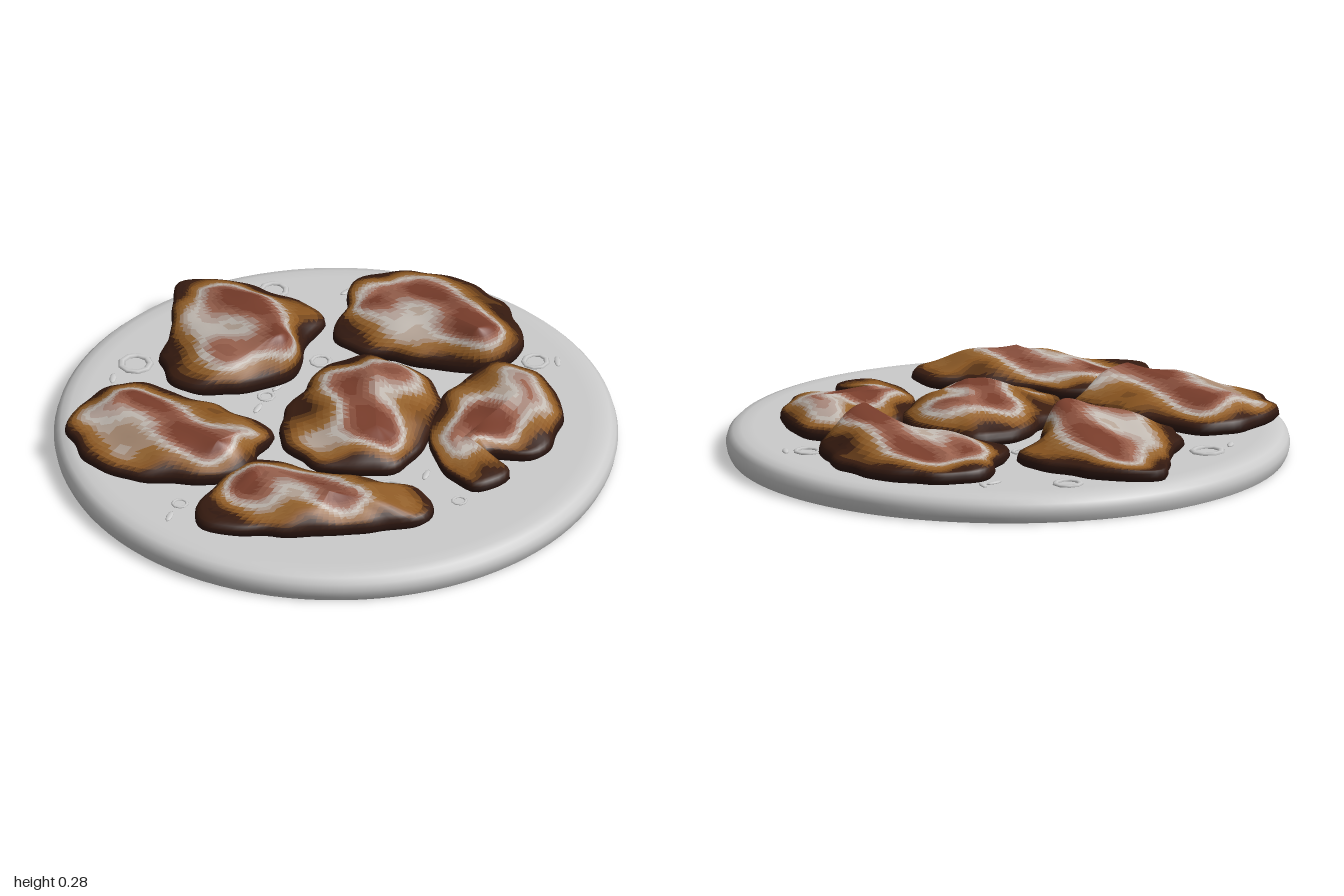
import * as THREE from 'three';

const grey = new THREE.MeshStandardMaterial({ color: 0xcccccc, side: THREE.DoubleSide });

// Roasting colours from charred rim through golden and pale fat to rust-red flesh
const stops = [0x2c1610, 0x3a1d10, 0x8a5520, 0x9a6832, 0xc4bcb4, 0x9c6450, 0x7a3e2c].map(c => new THREE.Color(c));
const LEVELS = 19;
const roast = Array.from({ length: LEVELS }, (_, i) => {
  const t = i / (LEVELS - 1) * (stops.length - 1), k = Math.min(Math.floor(t), stops.length - 2);
  return new THREE.MeshStandardMaterial({ color: stops[k].clone().lerp(stops[k + 1], t - k) });
});

const BASE = 0.108, RIM = 0.148, SEG = 80, INNER = 14;

// Meat piece: a clockwise outline [x, z] seen from above and a ridge from a to b [x, z, height].
// Rings shrink from the ruffled outline to the ridge while the height rises in folds.
function meatPiece(name, seed, [a, b], outline) {
  const curve = new THREE.CatmullRomCurve3(outline.map(([x, z]) => new THREE.Vector3(x, 0, z)), true, 'centripetal');
  const edge = curve.getSpacedPoints(SEG).slice(0, SEG);
  const spine = new THREE.Line3(new THREE.Vector3(a[0], 0, a[1]), new THREE.Vector3(b[0], 0, b[1]));
  const rings = [[0, BASE], [0.94, BASE], [1, 0.122], [0.99, 0.138]];
  for (let i = 0; i <= INNER; i++) rings.push([0.96 * (1 - i / INNER), null]);

  const pos = [], tone = [], target = new THREE.Vector3();
  rings.forEach(([s, fixedY]) => edge.forEach((p, i) => {
    const along = spine.closestPointToPointParameter(p, true);
    spine.at(along, target);
    const turn = i / SEG * Math.PI * 2;
    const reach = s * (1 + 0.025 * Math.sin(9 * turn + seed) + 0.015 * Math.sin(14 * turn + seed * 2));
    const x = target.x + (p.x - target.x) * reach, z = target.z + (p.z - target.z) * reach;
    const fold = Math.sin(21 * x + 6 * z + seed * 2.1) * 0.6 + Math.sin(13 * x - 17 * z + seed) * 0.4;
    const top = THREE.MathUtils.lerp(a[2], b[2], along);
    pos.push(x, fixedY ?? RIM + (top - RIM) * (1 - Math.pow(s, 1.5)) + 0.068 * s * (1 - s) * fold, z);
    const patch = Math.sin(24 * x + 5 * z + seed * 1.7) + 0.7 * Math.sin(9 * x - 15 * z + seed * 3);
    tone.push(fixedY ? 0 : 0.9 * Math.min(1, (1 - s) * 1.25 + 0.1) + 0.17 * patch * Math.min(1, (1 - s) * 5));
  }));

  // Sort the faces into one group per roasting colour
  const bins = roast.map(() => []);
  const face = (...v) => {
    const t = (tone[v[0]] + tone[v[1]] + tone[v[2]]) / 3;
    bins[THREE.MathUtils.clamp(Math.round(t * (LEVELS - 1)), 0, LEVELS - 1)].push(...v);
  };
  for (let r = 0; r < rings.length - 1; r++) {
    for (let i = 0; i < SEG; i++) {
      const j = (i + 1) % SEG, p = r * SEG, q = p + SEG;
      face(p + i, q + i, p + j);
      face(p + j, q + i, q + j);
    }
  }
  const geometry = new THREE.BufferGeometry();
  geometry.setAttribute('position', new THREE.Float32BufferAttribute(pos, 3));
  geometry.setIndex(bins.flat());
  let start = 0;
  bins.forEach((bin, i) => {
    if (bin.length) geometry.addGroup(start, bin.length, i);
    start += bin.length;
  });
  geometry.computeVertexNormals();
  const mesh = new THREE.Mesh(geometry, roast);
  mesh.name = name;
  return mesh;
}

export function createModel() {
  const model = new THREE.Group();
  const add = (parent, name, geometry, x = 0, y = 0, z = 0) => {
    const mesh = new THREE.Mesh(geometry, grey);
    mesh.name = name;
    mesh.position.set(x, y, z);
    parent.add(mesh);
  };

  // Plate: thin shell, open underneath, with a rounded edge
  const profile = [[0.985, 0], [0.995, 0.02], [1, 0.045], [0.993, 0.07], [0.975, 0.088], [0.945, 0.097], [0.9, 0.1], [0, 0.1]];
  add(model, 'plate', new THREE.LatheGeometry(profile.map(p => new THREE.Vector2(...p)), 96));

  // Roasted pieces
  const meat = new THREE.Group();
  meat.name = 'meat';
  model.add(meat);
  meat.add(meatPiece('backPiece', 1, [[0.02, -0.35, 0.275], [0.1, -0.82, 0.18]],
    [[.07, -.97], [.22, -.86], [.34, -.47], [.22, -.42], [.02, -.28], [-.3, -.42], [-.32, -.58], [-.1, -.8]]));
  meat.add(meatPiece('rightPiece', 2, [[-0.54, 0, 0.245], [-0.6, -0.42, 0.21]],
    [[-.78, -.55], [-.46, -.6], [-.36, -.4], [-.26, -.03], [-.37, .02], [-.5, .1], [-.78, -.1], [-.87, -.25]]));
  meat.add(meatPiece('leftPiece', 3, [[0.6, 0.06, 0.272], [0.6, -0.42, 0.18]],
    [[.57, -.59], [.76, -.5], [.89, -.24], [.79, .08], [.62, .13], [.43, -.05], [.28, -.36], [.42, -.47]]));
  meat.add(meatPiece('middlePiece', 4, [[0.16, 0.02, 0.235], [-0.02, 0.25, 0.22]],
    [[.17, -.24], [.31, -.18], [.37, .12], [.14, .34], [-.06, .41], [-.28, .2], [-.23, -.04], [0, -.18]]));
  meat.add(meatPiece('frontRightPiece', 5, [[-0.42, 0.48, 0.232], [-0.5, 0.2, 0.185]],
    [[-.82, .21], [-.61, .09], [-.42, .06], [-.29, .27], [-.08, .6], [-.14, .72], [-.45, .59], [-.8, .3]]));
  meat.add(meatPiece('frontLeftPiece', 6, [[0.5, 0.4, 0.215], [0.19, 0.46, 0.175]],
    [[.3, .2], [.6, .12], [.69, .2], [.65, .47], [.39, .66], [.24, .54], [.24, .69], [.08, .68], [.1, .42]]));

  // Onion rings [x, z, outer radius]
  const garnish = new THREE.Group();
  garnish.name = 'garnish';
  model.add(garnish);
  [[-.33, -.72, .065], [.34, -.77, .057], [-.1, -.27, .034], [.19, -.32, .042], [-.76, .06, .032],
    [-.12, .45, .05], [.78, .16, .052], [.02, .67, .03]].forEach(([x, z, r], i) => {
    const ring = new THREE.TorusGeometry(r * 0.8, r * 0.2, 6, 9).rotateX(Math.PI / 2).scale(1, 0.6, 1).rotateY(i);
    add(garnish, 'onionRing', ring, x, 0.102, z);
  });

  // Herb flakes [x, z, turn]
  [[-.45, -.7, .8], [.54, -.6, 0], [.59, -.6, 1.2], [-.17, -.23, .5], [-.03, -.29, .3], [-.84, .1, .6],
    [.03, .47, .6], [.84, .21, 1]].forEach(([x, z, turn]) => {
    const flake = new THREE.SphereGeometry(1, 8, 6).scale(0.034, 0.006, 0.012).rotateY(turn);
    add(garnish, 'herbFlake', flake, x, 0.102, z);
  });

  return model;
}
